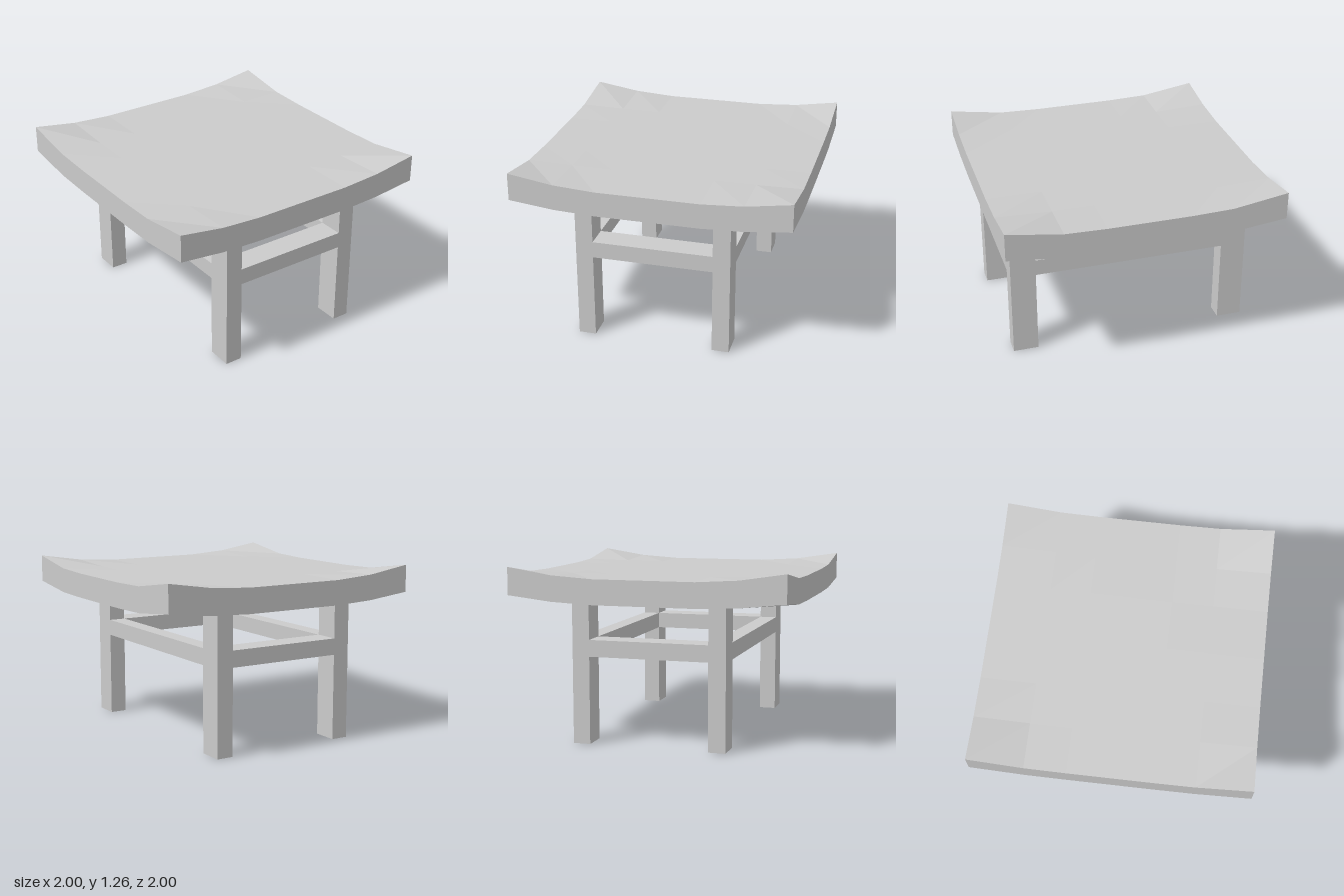
import * as THREE from 'three';

const material = new THREE.MeshStandardMaterial({ color: 0xcccccc, flatShading: true });

// Box given by its centre and size
function block(name, x, y, z, w, h, d) {
  const mesh = new THREE.Mesh(new THREE.BoxGeometry(w, h, d), material);
  mesh.position.set(x, y, z);
  mesh.name = name;
  return mesh;
}

// Square slab whose four corners curl upward
function createSeat() {
  // grid lines from the centre outward, and how much each one curls
  const xLines = [0, 0.3, 0.6, 1], xCurl = [0, 0, 0.12, 1];
  const zLines = [0, 0.37, 0.67, 1], zCurl = [0, 0, 0.27, 1];
  const geometry = new THREE.BoxGeometry(6, 1, 6, 6, 1, 6);
  const p = geometry.attributes.position;
  for (let i = 0; i < p.count; i++) {
    const x = Math.round(p.getX(i)), z = Math.round(p.getZ(i));
    const a = Math.abs(x), b = Math.abs(z);
    const curl = xCurl[a] * zCurl[b];
    const y = p.getY(i) > 0 ? 1.19 + 0.07 * curl : 1.01 + 0.05 * curl;
    p.setXYZ(i, Math.sign(x) * xLines[a], y, Math.sign(z) * zLines[b]);
  }
  geometry.computeVertexNormals();
  const seat = new THREE.Mesh(geometry, material);
  seat.name = 'seat';
  return seat;
}

export function createModel() {
  const group = new THREE.Group();
  group.name = 'stool';
  group.add(createSeat());

  const legX = 0.7975, legZ = 0.4975, legW = 0.185, legD = 0.125;
  const railY = 0.69, railH = 0.12;

  // Legs
  for (const sx of [-1, 1]) {
    for (const sz of [-1, 1]) {
      const name = (sz > 0 ? 'front' : 'back') + (sx > 0 ? 'Left' : 'Right') + 'Leg';
      group.add(block(name, sx * legX, 0.506, sz * legZ, legW, 1.012, legD));
    }
  }

  // Rails, flush with the legs
  for (const s of [-1, 1]) {
    group.add(block(s > 0 ? 'frontRail' : 'backRail', 0, railY, s * legZ, 2 * legX - legW, railH, legD));
    group.add(block(s > 0 ? 'leftRail' : 'rightRail', s * legX, railY, 0, legW, railH, 2 * legZ - legD));
  }
  return group;
}
